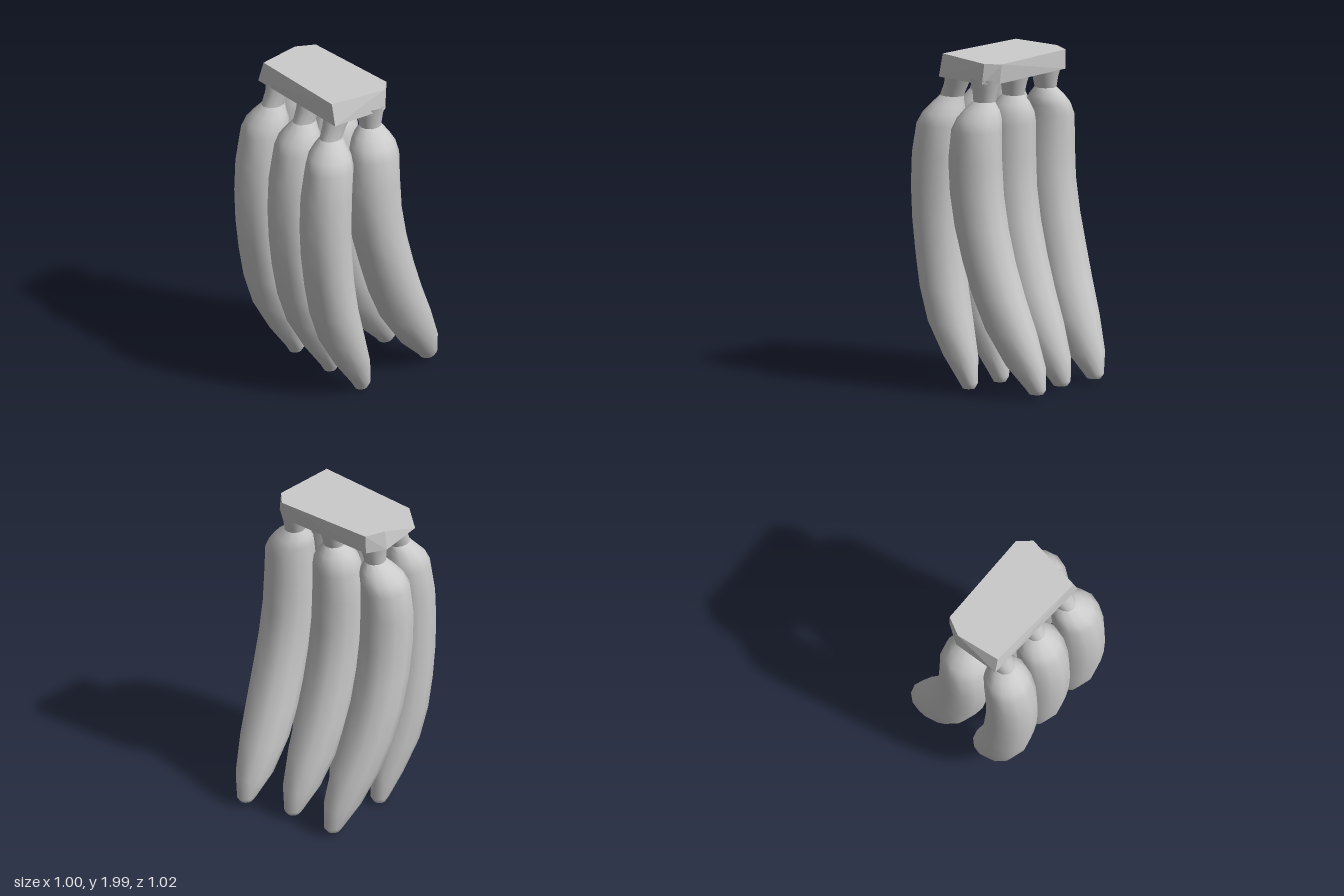
import * as THREE from 'three';
import { ConvexGeometry } from 'three/addons/geometries/ConvexGeometry.js';

const SIDES = 12;
const material = new THREE.MeshStandardMaterial({ color: 0xcccccc });

// Horizontal sections, top to bottom: [y, centre x, half width x, half width z]
const INNER_STEM = [[1.89, -0.21, 0.085, 0.085], [1.82, -0.235, 0.075, 0.07], [1.75, -0.265, 0.075, 0.062]];
const OUTER_STEM = [[1.89, 0.015, 0.1, 0.092], [1.82, 0.015, 0.08, 0.075], [1.75, 0.012, 0.068, 0.062]];
const INNER_BODY = [
  [1.75, -0.265, 0.075, 0.062], [1.7, -0.285, 0.1, 0.1], [1.65, -0.3, 0.13, 0.13], [1.58, -0.315, 0.148, 0.146],
  [1.4, -0.338, 0.156, 0.155], [1.2, -0.345, 0.156, 0.157], [1.0, -0.338, 0.152, 0.157], [0.8, -0.317, 0.148, 0.155],
  [0.6, -0.285, 0.145, 0.152], [0.4, -0.23, 0.138, 0.138], [0.2, -0.147, 0.108, 0.098], [0.05, -0.085, 0.058, 0.055],
  [0.015, -0.085, 0.038, 0.035],
];
const OUTER_BODY = [
  [1.75, 0.012, 0.068, 0.062], [1.7, 0.007, 0.108, 0.105], [1.65, 0.002, 0.138, 0.132], [1.58, -0.005, 0.155, 0.147],
  [1.4, -0.013, 0.165, 0.156], [1.2, 0, 0.165, 0.157], [1.0, 0.037, 0.165, 0.157], [0.8, 0.094, 0.163, 0.155],
  [0.6, 0.163, 0.163, 0.153], [0.4, 0.25, 0.16, 0.14], [0.2, 0.355, 0.128, 0.105], [0.07, 0.43, 0.066, 0.055],
  [0.042, 0.432, 0.045, 0.038],
];

// Skin a stack of sections with smooth sides and an optional flat bottom
function loft(sections, place, capped) {
  const positions = [], index = [];
  const ring = (s) => {
    const [cx, cz] = place(s[0], s[1]);
    for (let i = 0; i < SIDES; i++) {
      const a = (i / SIDES) * Math.PI * 2;
      positions.push(cx + Math.cos(a) * s[2], s[0], cz + Math.sin(a) * s[3]);
    }
  };
  sections.forEach(ring);
  for (let r = 0; r < sections.length - 1; r++) {
    for (let i = 0; i < SIDES; i++) {
      const a = r * SIDES + i, b = r * SIDES + (i + 1) % SIDES;
      index.push(a, b, a + SIDES, b, b + SIDES, a + SIDES);
    }
  }
  if (capped) {
    const start = positions.length / 3;
    ring(sections[sections.length - 1]);
    for (let i = 1; i < SIDES - 1; i++) index.push(start, start + i, start + i + 1);
  }
  const geometry = new THREE.BufferGeometry();
  geometry.setAttribute('position', new THREE.Float32BufferAttribute(positions, 3));
  geometry.setIndex(index);
  geometry.computeVertexNormals();
  return geometry;
}

// One fruit: its axis drifts in z from stem to body to tip
function makeBanana(name, stem, body, [zStem, zBody, zTip], [shiftTop, shiftTip]) {
  const { smoothstep, lerp } = THREE.MathUtils;
  const place = (y, x) => {
    const z = lerp(zStem, zBody, smoothstep(1.8 - y, 0, 0.25));
    return [x + lerp(shiftTip, shiftTop, y / 2), lerp(z, zTip, smoothstep(0.9 - y, 0, 0.9))];
  };
  const group = new THREE.Group();
  group.name = name;
  const stemMesh = new THREE.Mesh(loft(stem, place, false), material);
  stemMesh.name = 'stem';
  const bodyMesh = new THREE.Mesh(loft(body, place, true), material);
  bodyMesh.name = 'fruitBody';
  group.add(stemMesh, bodyMesh);
  return group;
}

// Bevelled slab joining the stems
function makeCrown() {
  const top = [[-0.278, -0.335], [0, -0.378], [0.115, -0.322], [0.142, 0.295], [0.065, 0.365], [-0.298, 0.315]];
  const bottom = [[-0.29, -0.37], [0, -0.393], [0.112, -0.325], [0.125, 0.295], [0.06, 0.38], [-0.3, 0.348]];
  const points = [
    ...top.map(([x, z]) => new THREE.Vector3(x, 1.99 - x * 0.035 + z * 0.005, z)),
    ...bottom.map(([x, z]) => new THREE.Vector3(x, 1.867, z)),
  ];
  const mesh = new THREE.Mesh(new ConvexGeometry(points), material);
  mesh.name = 'crown';
  return mesh;
}

export function createModel() {
  const model = new THREE.Group();
  model.name = 'bananaBunch';
  model.add(makeCrown());

  // Outer row, curving away on the left
  model.add(
    makeBanana('outerBananaFront', OUTER_STEM, OUTER_BODY, [0.295, 0.355, 0.325], [0, 0]),
    makeBanana('outerBananaMiddle', OUTER_STEM, OUTER_BODY, [0.015, 0.01, 0.02], [-0.01, -0.07]),
    makeBanana('outerBananaBack', OUTER_STEM, OUTER_BODY, [-0.285, -0.355, -0.285], [-0.02, -0.07]),
  );

  // Inner row, tucked behind it
  model.add(
    makeBanana('innerBananaFront', INNER_STEM, INNER_BODY, [0.265, 0.312, 0.33], [0, 0]),
    makeBanana('innerBananaMiddle', INNER_STEM, INNER_BODY, [0.01, 0.01, 0.045], [0.012, 0]),
    makeBanana('innerBananaBack', INNER_STEM, INNER_BODY, [-0.265, -0.285, -0.26], [0.005, -0.01]),
  );
  return model;
}
